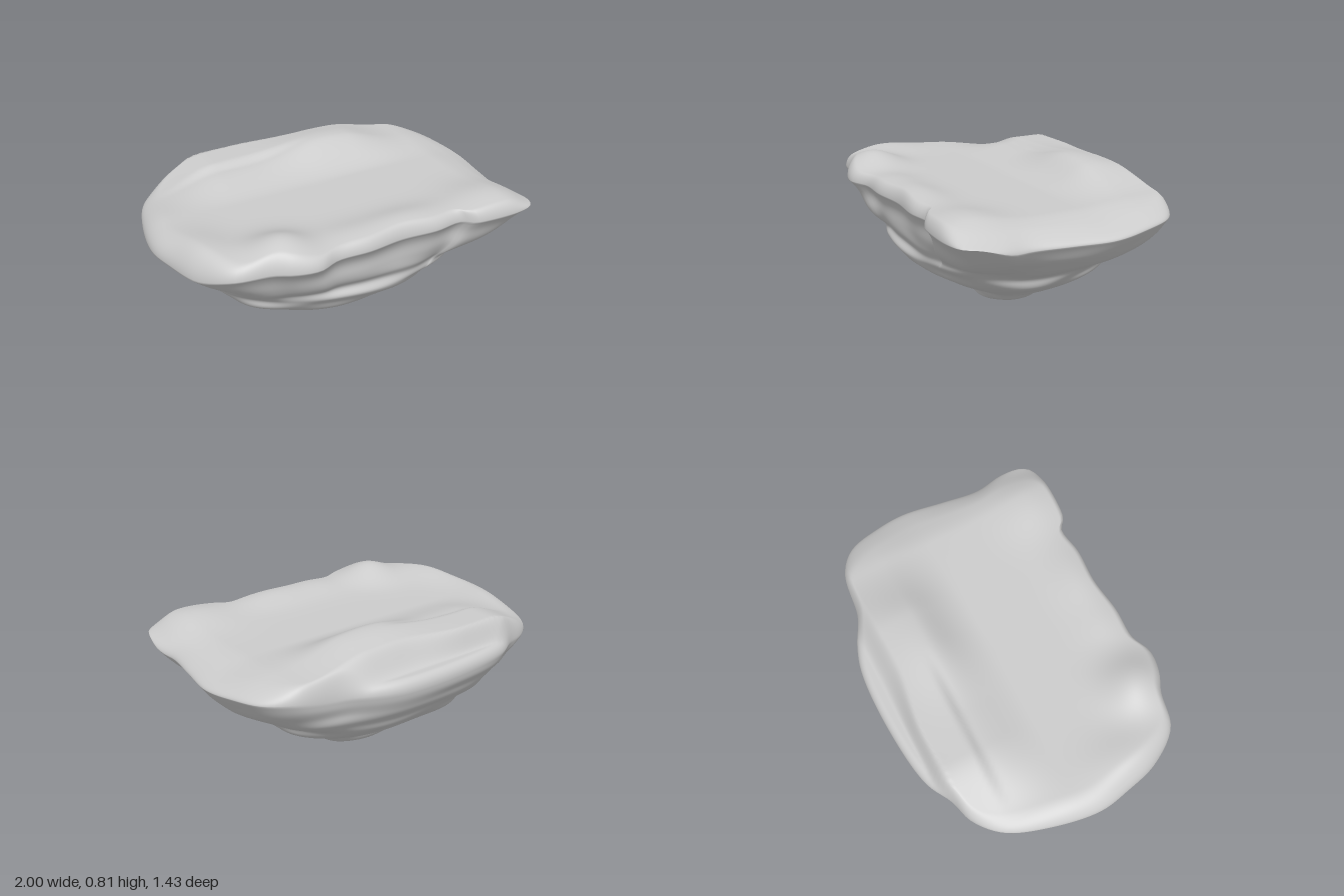
import * as THREE from 'three';

const SEG = 180, SIDE_RINGS = 80, CAP_RINGS = 60, RIM_Y = 0.6;
const { lerp, smoothstep } = THREE.MathUtils;

// Plan outline of the rim, as x, z pairs
const OUTLINE = [
  [-1, 0.05], [-0.95, -0.22], [-0.86, -0.44], [-0.73, -0.555], [-0.6, -0.595], [-0.45, -0.67],
  [-0.1, -0.712], [0.25, -0.7], [0.4, -0.655], [0.55, -0.58], [0.8, -0.535], [0.92, -0.44],
  [0.98, -0.25], [1, -0.08], [0.965, 0.15], [0.935, 0.35], [0.95, 0.52], [0.9, 0.67],
  [0.8, 0.708], [0.6, 0.706], [0.52, 0.69], [0.46, 0.645], [0.3, 0.66], [0.1, 0.645],
  [-0.1, 0.665], [-0.28, 0.66], [-0.4, 0.702], [-0.52, 0.68], [-0.62, 0.63], [-0.8, 0.58],
  [-0.92, 0.42], [-0.975, 0.22],
];

// Extents of the underside by height: y, min x, max x, min z, max z
const LEVELS = [
  [0.0, -0.08, 0.02, -0.08, 0.06], [0.015, -0.15, 0.12, -0.11, 0.12], [0.05, -0.26, 0.24, -0.16, 0.14],
  [0.09, -0.39, 0.3, -0.19, 0.17], [0.13, -0.44, 0.36, -0.22, 0.23], [0.155, -0.47, 0.43, -0.25, 0.32],
  [0.2, -0.54, 0.52, -0.34, 0.4], [0.25, -0.61, 0.59, -0.43, 0.48], [0.3, -0.67, 0.64, -0.5, 0.54],
  [0.35, -0.69, 0.68, -0.555, 0.57], [0.4, -0.76, 0.76, -0.6, 0.565], [0.45, -0.81, 0.85, -0.65, 0.61],
  [0.5, -0.87, 0.91, -0.67, 0.64], [0.55, -0.945, 0.96, -0.7, 0.665], [RIM_Y, -1, 1, -0.712, 0.708],
];

const bump = (x, z, cx, cz, rx, rz) => Math.exp(-(((x - cx) / rx) ** 2) - ((z - cz) / rz) ** 2);

// The rim is higher along the front and at the back corner on the left
const rimLift = (x, z) => 0.055 * smoothstep(z, 0.4, 0.65) + 0.03 * smoothstep(x, 0.55, 0.85) * smoothstep(-z, 0, 0.5);

// Height of the dished top: front knolls, stepped back mound and low back ledge
function topHeight(x, z) {
  let y = 0.695;
  y += 0.09 * bump(x, z, -0.52, 0.52, 0.17, 0.17) + 0.045 * bump(x, z, -0.85, 0.35, 0.16, 0.25);
  y += 0.05 * bump(x, z, 0.68, 0.56, 0.22, 0.2) + 0.045 * bump(x, z, 0.15, 0.56, 0.28, 0.14);
  y += 0.02 * bump(x, z, -0.17, 0.56, 0.15, 0.15);
  const slope = smoothstep(-z, 0.04, 0.34), step = 0.65 * slope + 0.35 * smoothstep(-z, 0.34, 0.4);
  const mound = lerp(step, slope, smoothstep(x, -0.25, 0.15));
  y += mound * (0.075 + 0.045 * bump(x, z, 0.2, -0.36, 0.3, 0.17))
    * smoothstep(x, -0.85, -0.45) * (1 - 0.75 * smoothstep(x, 0.35, 0.75));
  // Corners and ends thin out
  y -= 0.05 * smoothstep(x, 0.72, 1) + 0.05 * smoothstep(-x, 0.45, 0.9) * smoothstep(-z, 0.05, 0.5);
  // Drop to the ledge, sharper on the right
  return lerp(y, Math.min(y, 0.655), smoothstep(-z, lerp(0.57, 0.52, smoothstep(x, -0.25, 0.15)), 0.64));
}

function rockGeometry() {
  const outline = new THREE.CatmullRomCurve3(OUTLINE.map(([x, z]) => new THREE.Vector3(x, 0, z)), true)
    .getSpacedPoints(SEG).slice(0, SEG);
  const xs = new THREE.CatmullRomCurve3(LEVELS.map(l => new THREE.Vector3(l[1], l[0], l[2])), false, 'catmullrom');
  const zs = new THREE.CatmullRomCurve3(LEVELS.map(l => new THREE.Vector3(l[3], l[0], l[4])), false, 'catmullrom');
  const pos = [], index = [];

  // Underside rings: rounded near the foot, growing into the rim outline
  for (let j = 0; j < SIDE_RINGS; j++) {
    const t = j / SIDE_RINGS, ex = xs.getPoint(t), ez = zs.getPoint(t);
    const fade = Math.sin(Math.PI * t) ** 1.5, shape = smoothstep(t, 0.58, 1), n = 2.1 + 0.5 * t;
    for (const p of outline) {
      const px = p.x, pz = p.z / 0.71, a = Math.atan2(pz, px);
      const c = Math.cos(a), s = Math.sin(a);
      const round = (Math.abs(c) ** n + Math.abs(s) ** n) ** (-1 / n);
      const u = lerp(c * round, px, shape), v = lerp(s * round, pz, shape);
      // Sloping strata broken into lumps
      const k = 1 + fade * (0.015 * Math.sin(5 * a + 9 * t) + 0.012 * Math.sin(3 * a - 14 * t + 1)
        + 0.022 * Math.sin(34 * t + 2.5 * Math.sin(2 * a + 1)) * Math.sin(4 * a + 0.5));
      const y = ex.y + fade * 0.012 * Math.sin(3 * a + 2) * Math.sin(2 * a + 6 * t)
        + rimLift(p.x, p.z) * smoothstep(t, 0.78, 1);
      pos.push(u * k * (u < 0 ? -ex.x : ex.z), y, v * k * (v < 0 ? -ez.x : ez.z));
    }
  }

  // Top rings: rounded lip, then the dished surface
  for (let j = 0; j < CAP_RINGS; j++) {
    const s = 1 - (j / CAP_RINGS) ** 2;
    for (const p of outline) {
      const x = p.x * s, z = p.z * s;
      const width = lerp(0.06, 0.13, smoothstep(Math.abs(p.x), 0.75, 1));
      const lip = Math.sqrt(1 - (1 - Math.min(1, (1 - s) / width)) ** 2);
      pos.push(x, lerp(RIM_Y + rimLift(p.x, p.z), topHeight(x, z), lip), z);
    }
  }
  const rings = SIDE_RINGS + CAP_RINGS, foot = rings * SEG, centre = foot + 1;
  pos.push(-0.03, 0, -0.01, 0, topHeight(0, 0), 0);

  for (let i = 0; i < SEG; i++) {
    const n = (i + 1) % SEG;
    for (let j = 0; j < rings - 1; j++) {
      const a = j * SEG + i, b = j * SEG + n;
      index.push(a, a + SEG, b, b, a + SEG, b + SEG);
    }
    const last = (rings - 1) * SEG;
    index.push(foot, i, n, last + i, centre, last + n);
  }
  const geo = new THREE.BufferGeometry();
  geo.setAttribute('position', new THREE.Float32BufferAttribute(pos, 3));
  geo.setIndex(index);
  geo.computeVertexNormals();
  return geo;
}

export function createModel() {
  const group = new THREE.Group();
  group.name = 'floatingRock';
  const rock = new THREE.Mesh(rockGeometry(), new THREE.MeshStandardMaterial({ color: 0xcccccc }));
  rock.name = 'rockBody';
  group.add(rock);
  return group;
}
